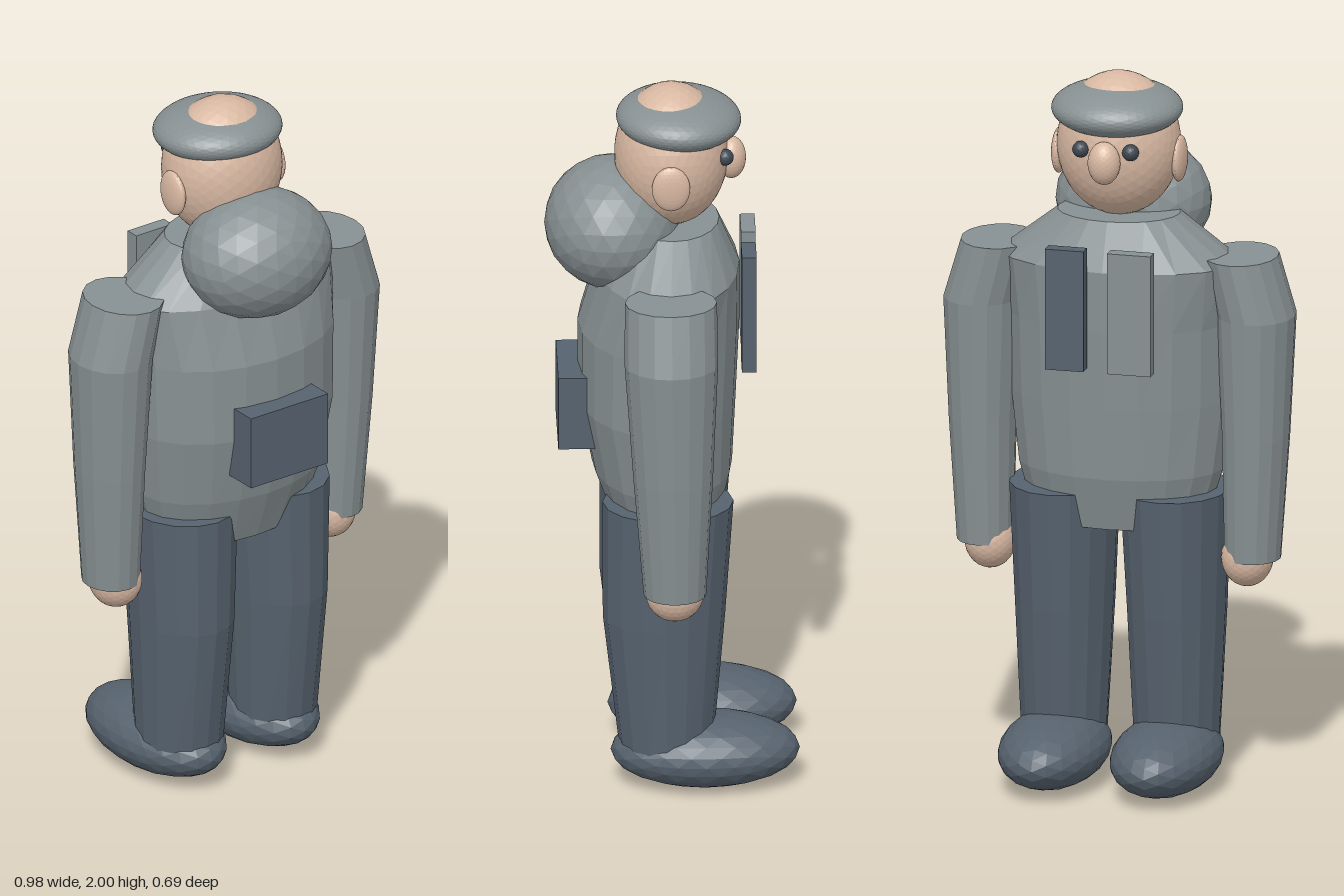
import * as THREE from 'three';

const paint = (name, hex) => {
  const m = new THREE.MeshStandardMaterial({ color: hex, flatShading: true });
  m.name = name;
  return m;
};

// Closed loft through elliptical rings: [y, centreX, centreZ, radiusX, radiusZ], bottom to top
function loft(rings, sides) {
  const pos = [], idx = [];
  const point = (r, a) => pos.push(r[1] + r[3] * Math.sin(a), r[0], r[2] + r[4] * Math.cos(a));
  for (const r of rings) for (let i = 0; i < sides; i++) point(r, (i / sides) * Math.PI * 2);
  for (let k = 0; k < rings.length - 1; k++) {
    for (let i = 0; i < sides; i++) {
      const j = (i + 1) % sides, a = k * sides + i, b = k * sides + j;
      idx.push(a, b, b + sides, a, b + sides, a + sides);
    }
  }
  const last = (rings.length - 1) * sides;
  for (let i = 1; i < sides - 1; i++) {
    idx.push(0, i + 1, i, last, last + i, last + i + 1);
  }
  const g = new THREE.BufferGeometry();
  g.setAttribute('position', new THREE.Float32BufferAttribute(pos, 3));
  g.setIndex(idx);
  g.computeVertexNormals();
  return g;
}

export function createModel() {
  const model = new THREE.Group();
  model.name = 'figure';
  const grey = paint('grey cloth', 0x879092);
  const slate = paint('dark slate', 0x56626e);
  const skin = paint('skin', 0xd8b8a2);
  const dark = paint('eye dark', 0x3e4852);

  const add = (name, geometry, material, x = 0, y = 0, z = 0) => {
    const m = new THREE.Mesh(geometry, material);
    m.name = name;
    m.position.set(x, y, z);
    model.add(m);
    return m;
  };
  const blob = (name, material, [x, y, z], [rx, ry, rz], detail = 4) =>
    add(name, new THREE.IcosahedronGeometry(1, detail).scale(rx, ry, rz), material, x, y, z);

  // Torso with sloping shoulders
  add('torso', loft([
    [0.74, 0, 0.015, 0.24, 0.145],
    [0.89, 0, 0.025, 0.285, 0.19],
    [1.09, 0, 0.04, 0.31, 0.215],
    [1.31, 0, 0.035, 0.315, 0.22],
    [1.48, 0, 0.01, 0.335, 0.195],
    [1.61, 0, 0, 0.17, 0.13],
  ], 20), grey);

  // Head, cap and hood
  blob('head', skin, [0, 1.8, 0], [0.17, 0.2, 0.155], 6);
  blob('cap', grey, [0, 1.905, -0.02], [0.18, 0.07, 0.17], 7).rotation.x = -0.04;
  blob('hood', grey, [0, 1.598, 0.16], [0.215, 0.178, 0.185], 3);
  blob('nose', skin, [0, 1.785, -0.163], [0.045, 0.06, 0.04]);

  // Packs and chest plates
  add('backPack', new THREE.BoxGeometry(0.26, 0.21, 0.1), slate, 0, 1.085, 0.26);
  add('leftChestPlate', new THREE.BoxGeometry(0.108, 0.34, 0.04), slate, 0.095, 1.38, -0.208);
  add('rightChestPlate', new THREE.BoxGeometry(0.122, 0.34, 0.04), grey, -0.087, 1.38, -0.21);

  // Paired parts
  for (const [side, s] of [['left', 1], ['right', -1]]) {
    blob(side + 'Ear', skin, [s * 0.168, 1.765, 0.005], [0.02, 0.065, 0.052]);
    blob(side + 'Eye', dark, [s * 0.07, 1.815, -0.145], [0.023, 0.023, 0.023], 2);
    add(side + 'Arm', loft([
      [0.655, s * 0.375, 0, 0.077, 0.085],
      [1.0, s * 0.383, 0.005, 0.092, 0.108],
      [1.34, s * 0.383, 0.01, 0.108, 0.127],
      [1.505, s * 0.34, 0.01, 0.102, 0.125],
    ], 16), grey);
    blob(side + 'Hand', skin, [s * 0.36, 0.655, 0], [0.071, 0.082, 0.08]);
    add(side + 'Leg', loft([
      [0.12, s * 0.158, 0.018, 0.117, 0.128],
      [0.5, s * 0.157, 0.024, 0.135, 0.166],
      [0.835, s * 0.155, 0.013, 0.15, 0.178],
    ], 16), slate);
    blob(side + 'Shoe', slate, [s * 0.157, 0.103, -0.088], [0.147, 0.1, 0.257], 3);
  }
  return model;
}
